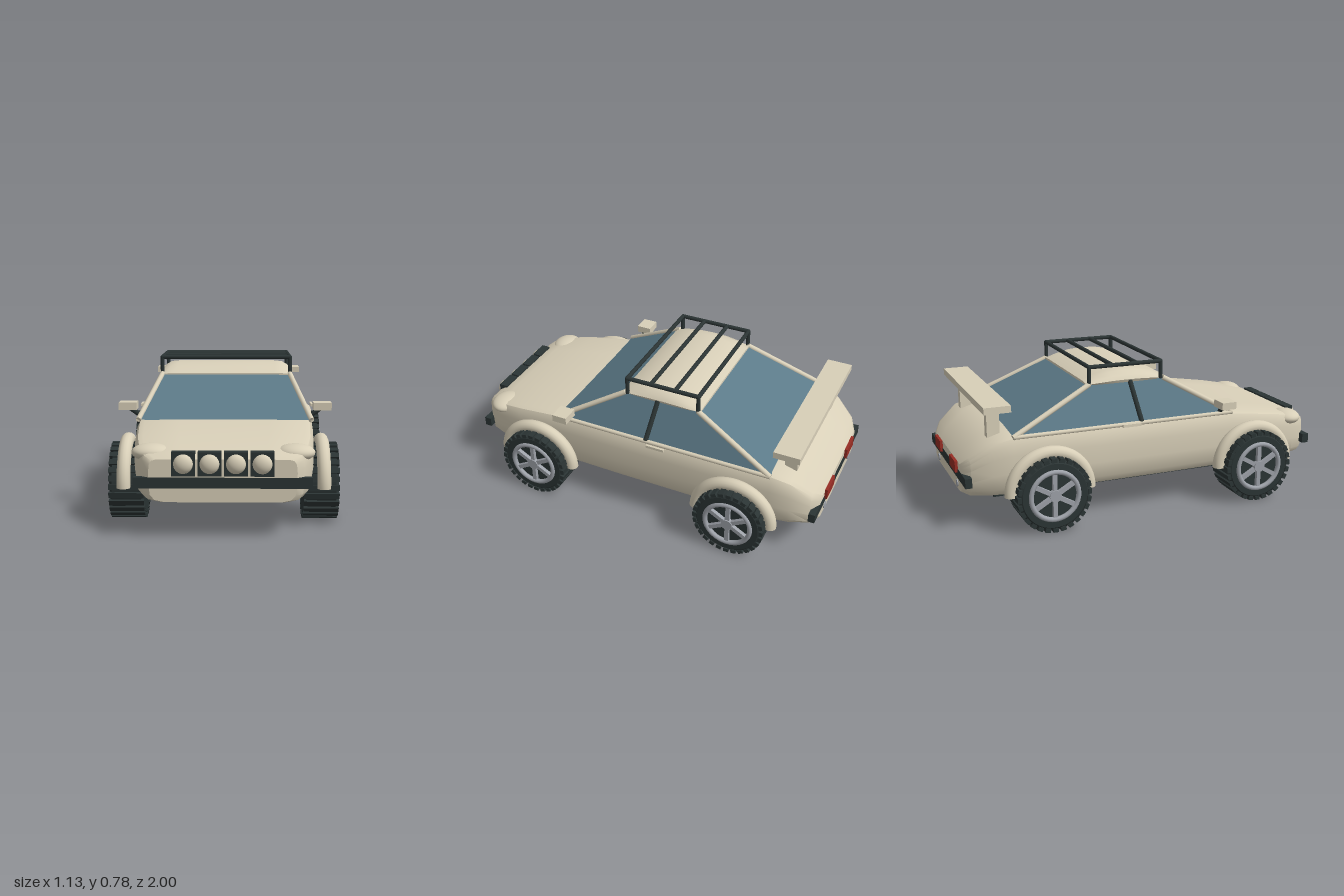
import * as THREE from 'three';
import { toCreasedNormals } from 'three/addons/utils/BufferGeometryUtils.js';

const mat = (name, color) => Object.assign(new THREE.MeshStandardMaterial({ color }), { name });

// Skin rings of outline points, given from back to front, and cap both ends.
function loft(outline, stations, crease = 0.6) {
  const half = outline.slice(1, -1).map(([u, v]) => [-u, v]).reverse();
  const ring = [...outline, ...half];
  const n = ring.length, pos = [], idx = [];
  for (const [z, w, yb, yt] of stations) {
    for (const [u, v] of ring) pos.push(u * w, yb + v * (yt - yb), z);
  }
  for (let i = 0; i < stations.length - 1; i++) {
    for (let j = 0; j < n; j++) {
      const a = i * n + j, b = i * n + (j + 1) % n;
      idx.push(a, b, b + n, a, b + n, a + n);
    }
  }
  const last = (stations.length - 1) * n;
  for (let j = 1; j < n - 1; j++) {
    idx.push(0, j + 1, j, last, last + j, last + j + 1);
  }
  const geo = new THREE.BufferGeometry();
  geo.setAttribute('position', new THREE.Float32BufferAttribute(pos, 3));
  geo.setIndex(idx);
  return toCreasedNormals(geo, crease);
}

export function createModel() {
  const paint = mat('cream paint', 0xd8cfb8);
  const dark = mat('black trim', 0x2b3434);
  const glassMat = mat('blue glass', 0x5c7a88);
  const silver = mat('silver metal', 0x9da1a8);
  const red = mat('red lens', 0x962d24);

  const car = new THREE.Group();
  car.name = 'car';
  const add = (name, geo, material, x = 0, y = 0, z = 0, parent = car) => {
    const m = new THREE.Mesh(geo, material);
    m.name = name;
    m.position.set(x, y, z);
    parent.add(m);
    return m;
  };
  const box = (name, material, w, h, d, x, y, z, parent) =>
    add(name, new THREE.BoxGeometry(w, h, d), material, x, y, z, parent);
  const bar = (name, material, a, b, r) => {
    const p = new THREE.Vector3(...a), q = new THREE.Vector3(...b);
    const d = q.clone().sub(p);
    const m = add(name, new THREE.CylinderGeometry(r, r, d.length(), 10), material);
    m.position.copy(p).add(q).multiplyScalar(0.5);
    m.quaternion.setFromUnitVectors(new THREE.Vector3(0, 1, 0), d.normalize());
    return m;
  };

  // Main shell: [z, half width, bottom, top]
  const bodyOutline = [[0, 0], [0.78, 0], [0.92, 0.05], [0.98, 0.17], [1, 0.42], [1, 0.7],
    [0.99, 0.87], [0.96, 0.96], [0.9, 0.99], [0.5, 1], [0, 1]];
  add('body', loft(bodyOutline, [
    [-0.985, 0.32, 0.175, 0.325], [-0.95, 0.38, 0.165, 0.37], [-0.85, 0.43, 0.165, 0.45],
    [-0.75, 0.45, 0.165, 0.48], [-0.3, 0.456, 0.165, 0.48], [0.1, 0.456, 0.165, 0.48],
    [0.45, 0.45, 0.165, 0.477], [0.7, 0.432, 0.165, 0.44], [0.86, 0.405, 0.165, 0.41],
    [0.93, 0.375, 0.165, 0.39], [0.96, 0.34, 0.17, 0.37],
  ]), paint);
  box('underbody', dark, 0.66, 0.03, 1.64, 0, 0.158, -0.01);

  // Glasshouse: base and top rectangles
  const base = { w: 0.44, y: 0.475, f: 0.45, r: -0.75 };
  const top = { w: 0.345, y: 0.678, f: 0.085, r: -0.32 };
  const cabin = new THREE.BoxGeometry(2, 1, 1);
  const cp = cabin.attributes.position;
  for (let i = 0; i < cp.count; i++) {
    const s = cp.getY(i) > 0 ? top : base;
    cp.setXYZ(i, cp.getX(i) * s.w, s.y, cp.getZ(i) > 0 ? s.f : s.r);
  }
  cabin.computeVertexNormals();
  add('windows', cabin, glassMat);

  // Domed roof
  const roofOutline = [[0, 0], [0.98, 0], [1, 0.25], [0.96, 0.6], [0.87, 0.9], [0.75, 0.98], [0, 1]];
  add('roof', loft(roofOutline, [
    [-0.335, 0.345, 0.672, 0.684], [-0.28, 0.355, 0.672, 0.708], [-0.2, 0.358, 0.672, 0.728],
    [-0.12, 0.358, 0.672, 0.734], [-0.04, 0.358, 0.672, 0.729], [0.04, 0.355, 0.672, 0.712],
    [0.1, 0.345, 0.672, 0.682],
  ], 0.9), paint);

  // Roof rack
  const rx = 0.347, ry = 0.766, rf = 0.072, rr = -0.323, rt = 0.011;
  for (const z of [rf, -0.06, -0.195, rr]) bar('rackCrossbar', dark, [-rx, ry, z], [rx, ry, z], rt);

  // Parts repeated on both sides
  for (const s of [1, -1]) {
    bar('frontPillar', paint, [s * base.w, base.y, base.f], [s * top.w, top.y, top.f], 0.014);
    bar('rearPillar', paint, [s * base.w, base.y, base.r], [s * top.w, top.y, top.r], 0.014);
    bar('windowSill', paint, [s * 0.442, 0.476, base.f], [s * 0.442, 0.476, base.r], 0.011);
    bar('doorPillar', dark, [s * 0.441, 0.48, -0.073], [s * 0.346, 0.678, -0.1], 0.013);
    box('doorHandle', paint, 0.012, 0.014, 0.1, s * 0.482, 0.481, -0.145);

    bar('rackRail', dark, [s * rx, ry, rf], [s * rx, ry, rr], rt);
    for (const z of [rf, rr]) {
      bar('rackPost', dark, [s * rx, 0.675, z], [s * rx, ry, z], rt);
      add('rackCorner', new THREE.SphereGeometry(rt, 10, 8), dark, s * rx, ry, z);
    }

    bar('mirrorArm', dark, [s * 0.43, 0.485, 0.38], [s * 0.49, 0.528, 0.38], 0.013);
    box('mirror', paint, 0.092, 0.038, 0.08, s * 0.498, 0.54, 0.375);

    add('headlight', new THREE.SphereGeometry(1, 28, 18), paint, s * 0.336, 0.383, 0.848)
      .scale.set(0.092, 0.041, 0.078);
    box('tailLight', red, 0.13, 0.058, 0.035, s * 0.18, 0.296, -0.982);
    add('exhaust', new THREE.CylinderGeometry(0.019, 0.019, 0.08, 16), silver, s * 0.22, 0.205, -0.95)
      .rotation.x = Math.PI / 2;
    box('wingStrut', paint, 0.045, 0.19, 0.065, s * 0.29, 0.522, -0.815);
  }
  box('rearWing', paint, 0.9, 0.034, 0.135, 0, 0.623, -0.825);

  // Bumpers and auxiliary lamps
  box('frontBumper', dark, 0.82, 0.05, 0.038, 0, 0.26, 0.943);
  box('rearBumper', dark, 0.82, 0.05, 0.034, 0, 0.26, -0.97);
  for (const x of [-0.18, -0.06, 0.06, 0.18]) {
    box('lampHousing', dark, 0.108, 0.112, 0.048, x, 0.347, 0.94);
    add('auxiliaryLamp', new THREE.SphereGeometry(0.045, 24, 16), paint, x, 0.349, 0.97)
      .scale.z = 0.65;
  }

  // Wheels, built with the outer face toward +z and turned to the side
  const tyreGeo = toCreasedNormals(new THREE.LatheGeometry([
    [0, -0.083], [0.16, -0.083], [0.178, -0.07], [0.181, 0.07], [0.165, 0.083],
    [0.135, 0.083], [0.13, 0.066], [0, 0.066],
  ].map(([r, y]) => new THREE.Vector2(r, y)), 48), 0.5).rotateX(Math.PI / 2);
  const blocks = 28;
  const blockGeo = new THREE.BoxGeometry(0.027, 0.02, 0.17);
  const spokeGeo = new THREE.BoxGeometry(0.022, 0.115, 0.02);
  const rimGeo = new THREE.TorusGeometry(0.122, 0.013, 10, 40);
  const hubGeo = new THREE.CylinderGeometry(0.03, 0.03, 0.034, 20).rotateX(Math.PI / 2);
  const archGeo = new THREE.TorusGeometry(0.202, 0.033, 14, 36, Math.PI);
  const archEnd = new THREE.CircleGeometry(0.033, 14).rotateX(Math.PI / 2);

  for (const s of [1, -1]) {
    for (const [label, z] of [['front', 0.56], ['rear', -0.58]]) {
      const wheel = new THREE.Group();
      wheel.name = label + 'Wheel';
      wheel.position.set(s * 0.471, 0.191, z);
      wheel.rotation.y = s * Math.PI / 2;
      car.add(wheel);
      add('tyre', tyreGeo, dark, 0, 0, 0, wheel);
      for (let i = 0; i < blocks; i++) {
        const a = i / blocks * Math.PI * 2;
        add('treadBlock', blockGeo, dark, -Math.sin(a) * 0.18, Math.cos(a) * 0.18, 0, wheel).rotation.z = a;
      }
      add('rim', rimGeo, silver, 0, 0, 0.08, wheel);
      for (let i = 0; i < 6; i++) {
        const a = i / 6 * Math.PI * 2;
        add('spoke', spokeGeo, silver, -Math.sin(a) * 0.062, Math.cos(a) * 0.062, 0.076, wheel).rotation.z = a;
      }
      add('hub', hubGeo, silver, 0, 0, 0.075, wheel);

      // Wheel arch
      const arch = new THREE.Group();
      arch.name = label + 'WheelArch';
      arch.position.set(s * 0.48, 0.191, z);
      arch.rotation.y = Math.PI / 2;
      car.add(arch);
      add('archFlare', archGeo, paint, 0, 0, 0, arch);
      for (const e of [1, -1]) add('archEnd', archEnd, paint, e * 0.202, 0, 0, arch);
    }
  }
  return car;
}
